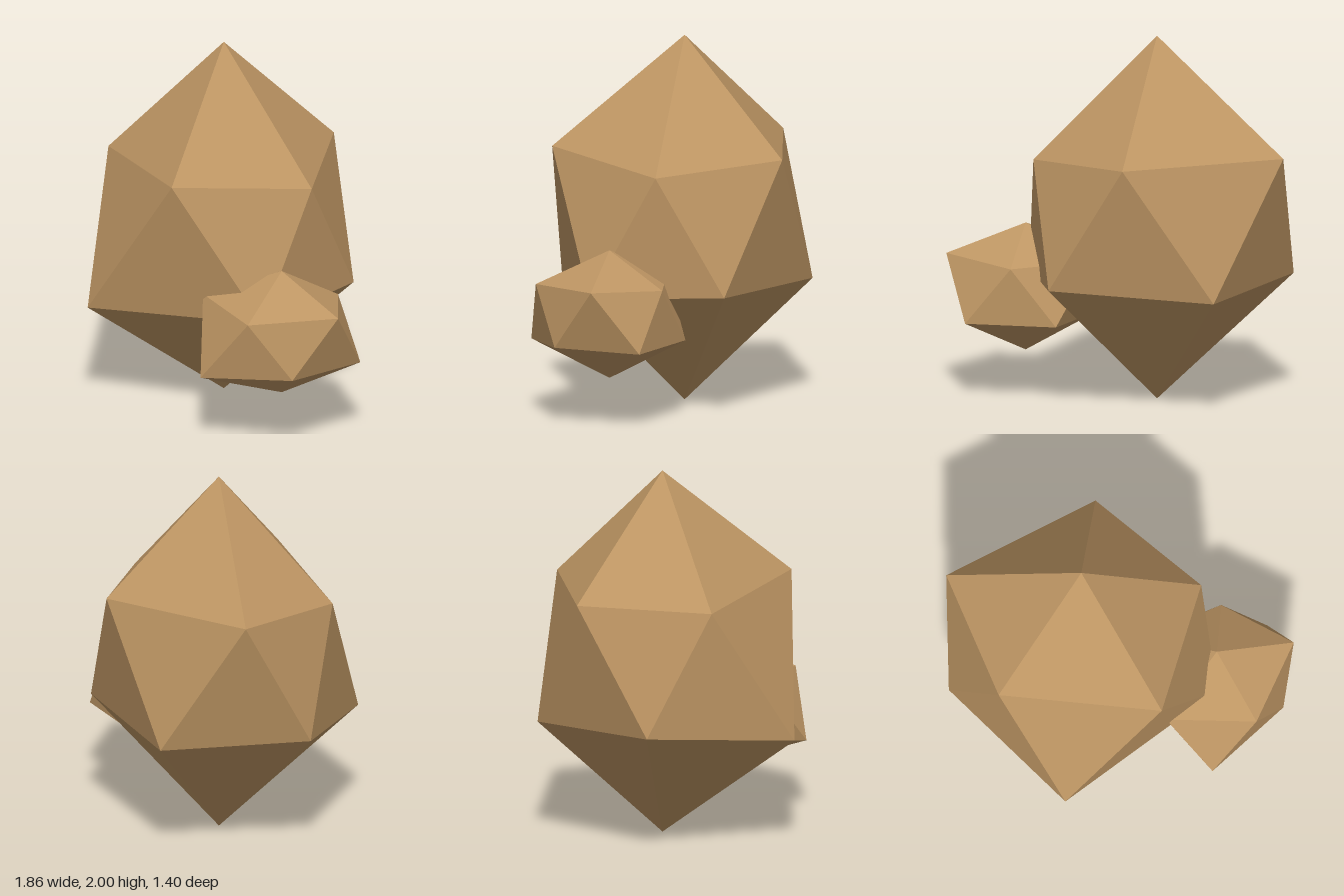
import * as THREE from 'three';

// Faceted rock: top point, upper ring of five, lower ring of five, bottom point.
// Rings run from +x towards +z; the lower ring sits half a step further round.
function rockGeometry(top, upper, lower, bottom) {
  const points = [];
  for (let i = 0; i < 5; i++) {
    const j = (i + 1) % 5;
    points.push(
      top, upper[j], upper[i],
      upper[i], upper[j], lower[i],
      lower[i], upper[j], lower[j],
      bottom, lower[i], lower[j],
    );
  }
  const geometry = new THREE.BufferGeometry();
  geometry.setAttribute('position', new THREE.Float32BufferAttribute(points.flat(), 3));
  geometry.computeVertexNormals();
  return geometry;
}

export function createModel() {
  const group = new THREE.Group();
  group.name = 'rocks';
  const stone = new THREE.MeshStandardMaterial({ color: 0xbd9563, flatShading: true });
  stone.name = 'tan stone';

  const addRock = (name, ...rings) => {
    const mesh = new THREE.Mesh(rockGeometry(...rings), stone);
    mesh.name = name;
    group.add(mesh);
  };

  // Tall boulder
  addRock('largeRock',
    [-0.19, 2, -0.05],
    [[0.48, 1.33, -0.05], [0.08, 1.41, 0.62], [-0.74, 1.34, 0.28], [-0.84, 1.39, -0.44], [0.05, 1.38, -0.65]],
    [[0.47, 0.65, 0.32], [-0.48, 0.59, 0.7], [-0.93, 0.68, -0.05], [-0.44, 0.65, -0.7], [0.43, 0.68, -0.42]],
    [-0.19, 0, -0.05]);

  // Small rock embedded in its side
  addRock('smallRock',
    [0.5, 0.93, 0.2],
    [[0.93, 0.77, 0.2], [0.62, 0.75, 0.58], [0.15, 0.77, 0.45], [0.16, 0.76, -0.04], [0.61, 0.74, -0.12]],
    [[0.81, 0.44, 0.43], [0.35, 0.4, 0.67], [0.12, 0.43, 0.2], [0.37, 0.43, -0.19], [0.85, 0.43, -0.05]],
    [0.5, 0.23, 0.2]);

  return group;
}
